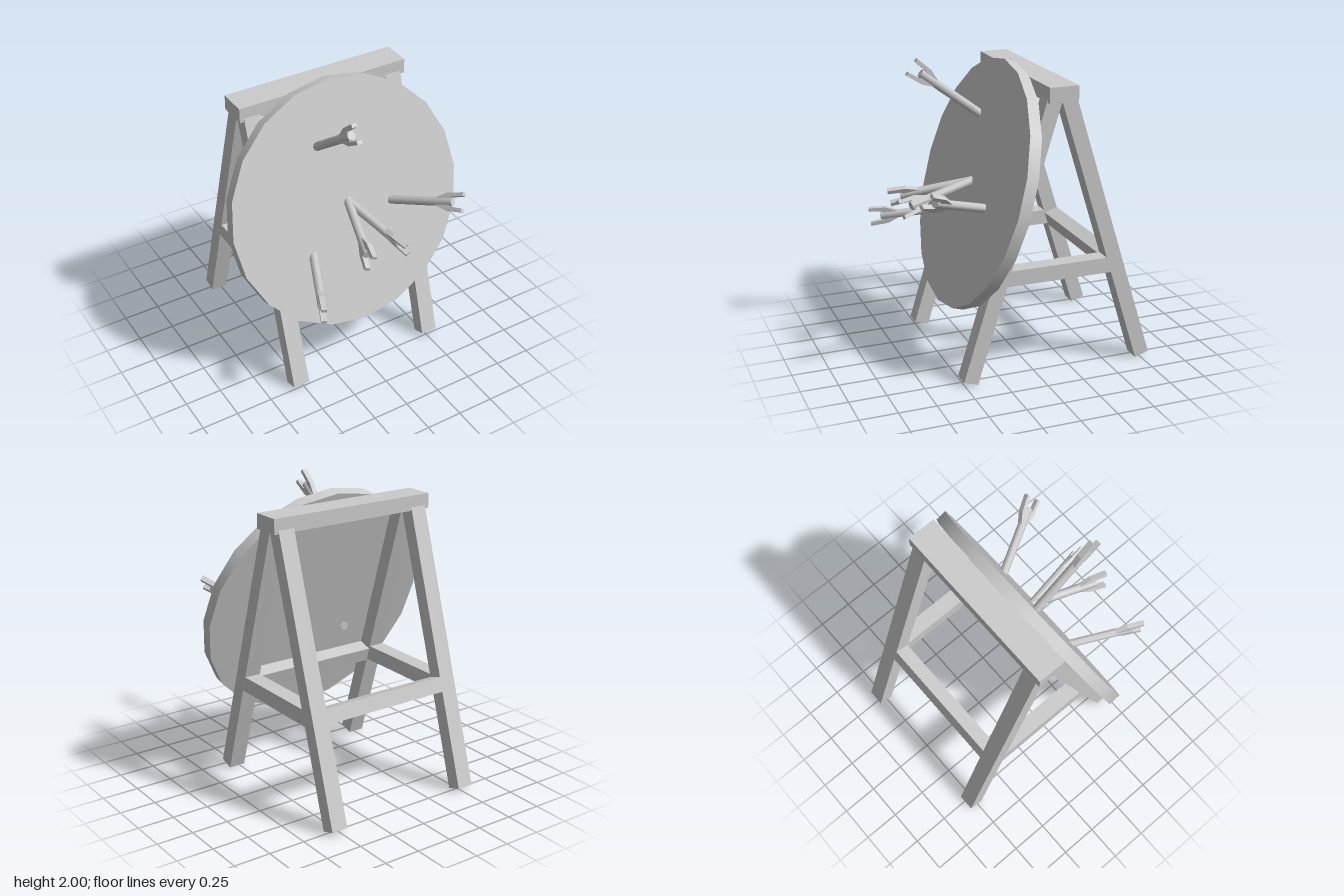
import * as THREE from 'three';

const grey = new THREE.MeshStandardMaterial({ color: 0xcccccc });
const TILT = 0.301; // lean of the legs

function add(parent, name, geometry, x = 0, y = 0, z = 0, rx = 0) {
  const mesh = new THREE.Mesh(geometry, grey);
  mesh.name = name;
  mesh.position.set(x, y, z);
  mesh.rotation.x = rx;
  parent.add(mesh);
  return mesh;
}

// Flared vane, r = distance from the shaft axis, y = along the shaft (end at 0)
function vaneGeometry() {
  const profile = [[0.01, -0.14], [0.026, -0.12], [0.056, -0.045], [0.064, 0.075], [0.04, 0.075], [0.032, -0.01], [0.01, -0.03]];
  const shape = new THREE.Shape(profile.map(([r, y]) => new THREE.Vector2(r, y)));
  const geometry = new THREE.ExtrudeGeometry(shape, { depth: 0.036, bevelEnabled: false });
  return geometry.translate(0, 0, -0.018);
}

// Arrow from its entry point to its nock; vaneDir sets the plane of the vanes
function makeArrow(base, end, vaneDir, sunk) {
  const a = new THREE.Vector3(...base);
  const b = new THREE.Vector3(...end);
  const axis = b.clone().sub(a);
  const length = axis.length() + sunk;
  axis.normalize();
  const side = new THREE.Vector3(...vaneDir).projectOnPlane(axis).normalize();
  const arrow = new THREE.Group();
  arrow.name = 'arrow';
  arrow.position.copy(b);
  arrow.quaternion.setFromRotationMatrix(
    new THREE.Matrix4().makeBasis(side, axis, side.clone().cross(axis)));
  add(arrow, 'arrowShaft', new THREE.CylinderGeometry(0.029, 0.029, length, 8), 0, -length / 2, 0);
  for (const turn of [0, Math.PI]) {
    add(arrow, 'arrowVane', vaneGeometry()).rotation.y = turn;
  }
  return arrow;
}

export function createModel() {
  const model = new THREE.Group();
  model.name = 'archeryTarget';

  // Stand: top beam, splayed legs and a frame of rails
  const stand = new THREE.Group();
  stand.name = 'stand';
  model.add(stand);
  const midZ = -0.15;
  add(stand, 'topBeam', new THREE.BoxGeometry(1.21, 0.1, 0.195), 0, 1.868, midZ);

  const bottom = 0.015, top = 1.872, spread = 0.612;
  const legLength = (top - bottom) / Math.cos(TILT);
  const midY = (top + bottom) / 2;
  const legOffset = (y) => spread - (y - bottom) * Math.tan(TILT);
  const railY = 0.697;
  for (const f of [1, -1]) {
    for (const s of [1, -1]) {
      add(stand, f > 0 ? 'frontLeg' : 'backLeg', new THREE.BoxGeometry(0.114, legLength, 0.1),
        s * 0.518, midY, midZ + f * legOffset(midY), -f * TILT);
    }
    add(stand, f > 0 ? 'frontRail' : 'backRail', new THREE.BoxGeometry(0.94, 0.1, 0.1),
      0, railY, midZ + f * legOffset(railY), -f * TILT);
  }
  for (const s of [1, -1]) {
    add(stand, 'sideRail', new THREE.BoxGeometry(0.112, 0.104, 0.76), s * 0.518, railY, midZ);
  }

  // Round target leaning against the stand
  add(model, 'targetDisc', new THREE.CylinderGeometry(0.838, 0.838, 0.08, 20),
    0, 1.171, 0.209, Math.PI / 2 - 0.292);

  // Arrows: entry point, nock end, vane direction, depth sunk into the target
  const arrows = [
    [[-0.16, 1.6, 0.125], [-0.16, 1.9, 0.525], [0, 1, 0], 0.06],
    [[0.32, 1.1, 0.27], [0.525, 1.245, 0.665], [0.6, 0.95, -0.45], 0.06],
    [[0, 1.19, 0.24], [-0.135, 1.102, 0.69], [0.35, 0.93, 0], 0.06],
    [[0, 1.19, 0.24], [0.1, 1.1, 0.69], [-0.4, 0.9, 0], 0.06],
    [[-0.31, 0.915, 0.325], [-0.485, 0.855, 0.73], [0, 1, 0], 0.11],
  ];
  for (const spec of arrows) model.add(makeArrow(...spec));

  return model;
}
